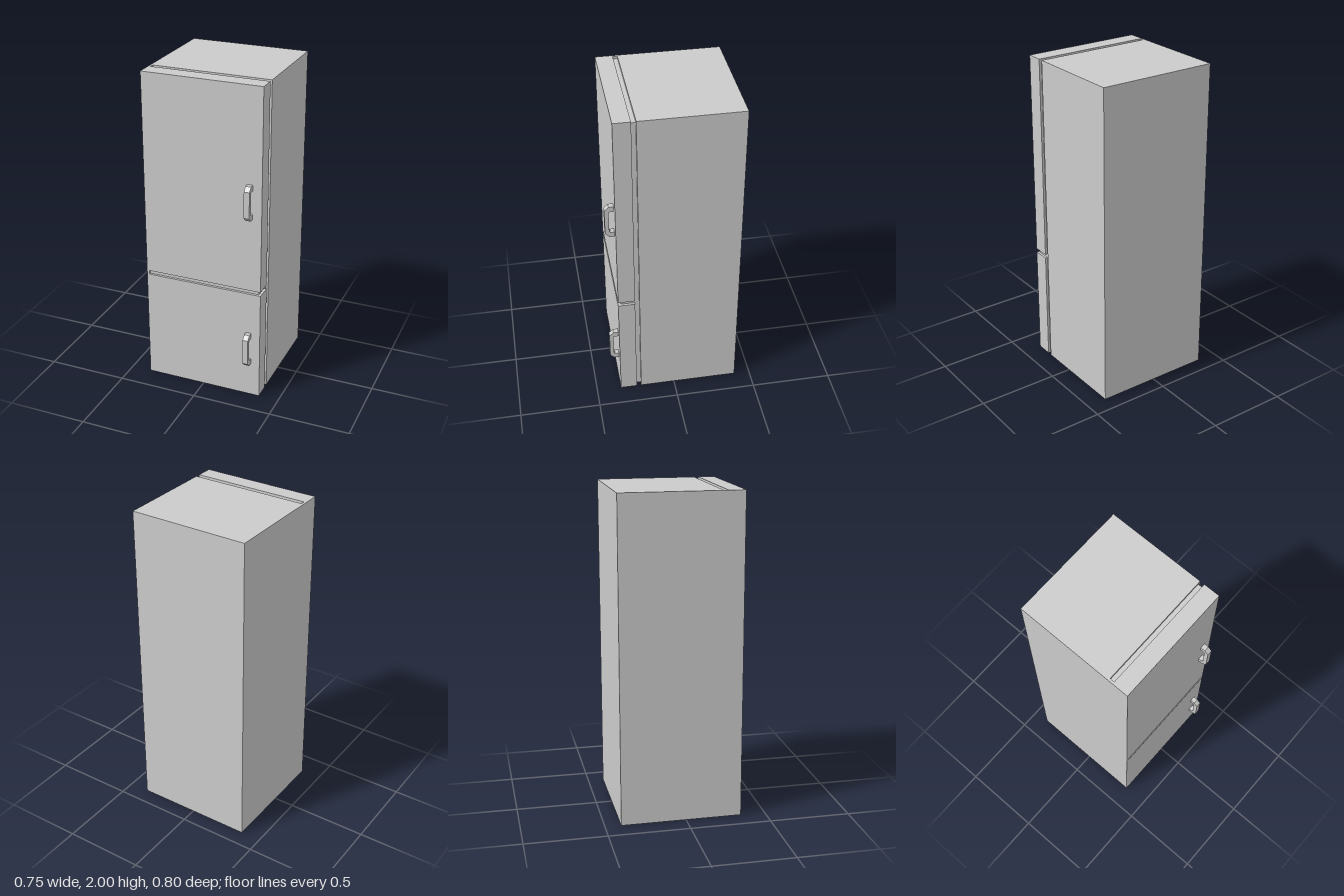
import * as THREE from 'three';

const material = new THREE.MeshStandardMaterial({ color: 0xcccccc, flatShading: true });

// Box given by its lower and upper corner
function block(name, [x0, y0, z0], [x1, y1, z1]) {
  const mesh = new THREE.Mesh(new THREE.BoxGeometry(x1 - x0, y1 - y0, z1 - z0), material);
  mesh.position.set((x0 + x1) / 2, (y0 + y1) / 2, (z0 + z1) / 2);
  mesh.name = name;
  return mesh;
}

// C-shaped pull with chamfered corners, open towards the door
function handle(name, y, z) {
  const h = 0.107, depth = 0.055, cut = 0.025, inner = 0.074, gap = 0.03, innerCut = 0.006;
  const points = [
    [0, -h], [depth - cut, -h], [depth, -h + cut], [depth, h - cut], [depth - cut, h], [0, h],
    [0, inner], [gap - innerCut, inner], [gap, inner - innerCut],
    [gap, -inner + innerCut], [gap - innerCut, -inner], [0, -inner],
  ].map(([a, b]) => new THREE.Vector2(a, b));
  const width = 0.034;
  const geometry = new THREE.ExtrudeGeometry(new THREE.Shape(points), { depth: width, bevelEnabled: false });
  geometry.translate(0, 0, -width / 2).rotateY(-Math.PI / 2);
  const mesh = new THREE.Mesh(geometry, material);
  mesh.position.set(0.3, y, z);
  mesh.name = name;
  return mesh;
}

export function createModel() {
  const group = new THREE.Group();
  group.name = 'refrigerator';

  const W = 0.373, H = 2, back = -0.401, bodyFront = 0.215, doorBack = 0.243, doorFront = 0.346;
  const split0 = 0.705, split1 = 0.73, inset = 0.015;

  // Cabinet and the two doors
  group.add(block('cabinet', [-W, 0, back], [W, H, bodyFront]));
  group.add(block('lowerDoor', [-W, 0, doorBack], [W, split0, doorFront]));
  group.add(block('upperDoor', [-W, split1, doorBack], [W, H, doorFront]));

  // Recessed seals that form the floors of the grooves
  group.add(block('doorSeal', [-W + inset, inset, bodyFront], [W - inset, H - inset, doorBack]));
  group.add(block('doorDivider', [-W + inset, split0, doorBack], [W - inset, split1, doorFront - inset]));

  // Flush strips closing the grooves on the hinge side
  group.add(block('hingeStrip', [-W, 0, bodyFront], [-W + inset, H, doorBack]));
  group.add(block('dividerEnd', [-W, split0, doorBack], [-W + inset, split1, doorFront]));

  // Door handles
  group.add(handle('upperHandle', 1.305, doorFront));
  group.add(handle('lowerHandle', 0.33, doorFront));

  return group;
}
